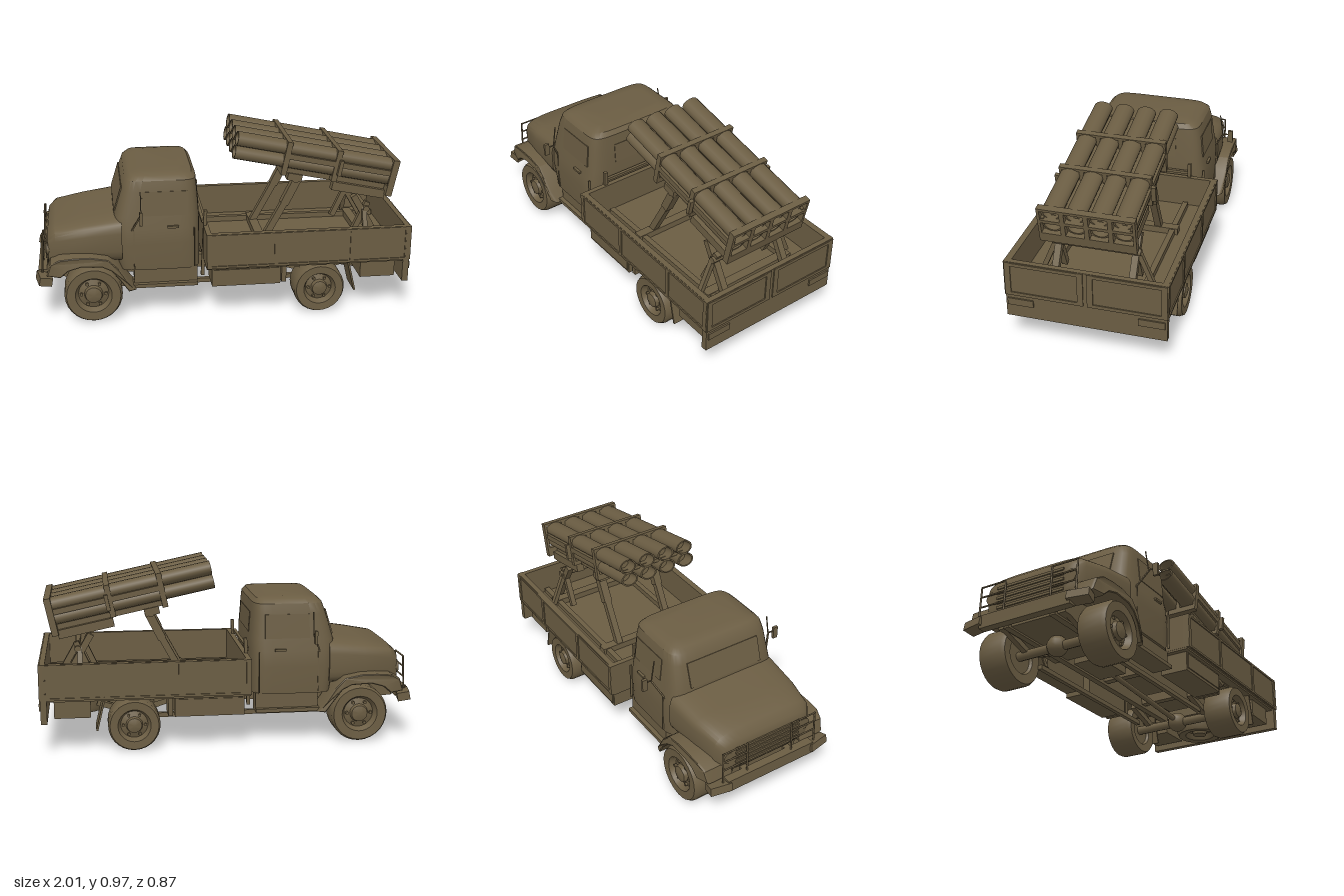
import * as THREE from 'three';
import { toCreasedNormals } from 'three/addons/utils/BufferGeometryUtils.js';

const olive = new THREE.MeshStandardMaterial({ color: 0x6b5d43 });
olive.name = 'olive paint';

function add(parent, name, geo, x = 0, y = 0, z = 0) {
  const m = new THREE.Mesh(geo, olive);
  m.name = name;
  m.position.set(x, y, z);
  parent.add(m);
  return m;
}
// Box given by its limits on each axis
function box(parent, name, x0, x1, y0, y1, z0, z1) {
  return add(parent, name, new THREE.BoxGeometry(x1 - x0, y1 - y0, Math.abs(z1 - z0)),
    (x0 + x1) / 2, (y0 + y1) / 2, (z0 + z1) / 2);
}
// Square or round bar between two points
function bar(parent, name, a, b, w, round = false) {
  const A = new THREE.Vector3(...a), B = new THREE.Vector3(...b), len = A.distanceTo(B);
  const geo = round ? new THREE.CylinderGeometry(w / 2, w / 2, len, 10) : new THREE.BoxGeometry(w, len, w);
  const m = add(parent, name, geo);
  m.position.copy(A).add(B).multiplyScalar(0.5);
  m.quaternion.setFromUnitVectors(new THREE.Vector3(0, 1, 0), B.sub(A).normalize());
  return m;
}
// Unit rounded square as a ring of points
function ring(power, n = 32) {
  return Array.from({ length: n }, (_, i) => {
    const t = ((i + 0.5) / n) * Math.PI * 2, f = v => Math.sign(v) * Math.abs(v) ** power;
    return [f(Math.cos(t)), f(Math.sin(t))];
  });
}
// Closed skin through rings of equal length
function loft(rings, crease = 0.6) {
  const n = rings[0].length, pts = rings.flat(), idx = [];
  for (let r = 0; r < rings.length - 1; r++) for (let i = 0; i < n; i++) {
    const a = r * n + i, b = r * n + (i + 1) % n;
    idx.push(a, b, b + n, a, b + n, a + n);
  }
  const last = (rings.length - 1) * n;
  for (let i = 1; i < n - 1; i++) idx.push(0, i + 1, i, last, last + i, last + i + 1);
  // Turn the faces outward
  const V = pts.map(p => new THREE.Vector3(...p));
  let vol = 0;
  for (let i = 0; i < idx.length; i += 3) vol += V[idx[i]].dot(V[idx[i + 1]].clone().cross(V[idx[i + 2]]));
  if (vol < 0) idx.reverse();
  const g = new THREE.BufferGeometry();
  g.setAttribute('position', new THREE.Float32BufferAttribute(pts.flat(), 3));
  g.setIndex(idx);
  return toCreasedNormals(g, crease);
}
const lathe = (pts, seg) => toCreasedNormals(
  new THREE.LatheGeometry(pts.map(p => new THREE.Vector2(...p)), seg), 0.6);

const tyre = r => lathe([[0, -0.06], [r * 0.55, -0.06], [r * 0.6, -0.075], [r * 0.93, -0.08], [r, -0.06], [r, 0.06],
  [r * 0.93, 0.08], [r * 0.63, 0.078], [r * 0.58, 0.065], [r * 0.52, 0.045], [r * 0.32, 0.055],
  [r * 0.28, 0.075], [r * 0.12, 0.082], [0, 0.082]], 28);

function wheel(parent, name, x, r, z, side) {
  add(parent, name, tyre(r).rotateX(side * Math.PI / 2), x, r + 0.004, side * z);
  for (let i = 0; i < 6; i++) {
    const t = i * Math.PI / 3, nut = new THREE.CylinderGeometry(r * 0.06, r * 0.06, 0.03, 6).rotateX(Math.PI / 2);
    add(parent, 'wheelNut', nut, x + Math.cos(t) * r * 0.42, r + 0.004 + Math.sin(t) * r * 0.42, side * (z + 0.048));
  }
}

// Front fender: extruded arch whose outer face curves in towards both ends
function fender(side) {
  const arch = new THREE.Shape([[-0.945, 0.28], [-0.925, 0.34], [-0.88, 0.365], [-0.8, 0.372], [-0.72, 0.372],
    [-0.63, 0.355], [-0.575, 0.3], [-0.53, 0.225], [-0.49, 0.175], [-0.52, 0.175], [-0.57, 0.25], [-0.61, 0.3],
    [-0.66, 0.325], [-0.77, 0.33], [-0.84, 0.31], [-0.88, 0.275]].map(p => new THREE.Vector2(...p)));
  const geo = new THREE.ExtrudeGeometry(arch, { depth: 0.15, bevelEnabled: true,
    bevelSize: 0.006, bevelThickness: 0.012, bevelSegments: 2 });
  geo.translate(0, 0, side > 0 ? 0.224 : -0.374);
  const p = geo.attributes.position;
  for (let i = 0; i < p.count; i++) if (Math.abs(p.getZ(i)) > 0.3)
    p.setZ(i, p.getZ(i) - side * 2.2 * Math.max(0, Math.abs(p.getX(i) + 0.72) - 0.13) ** 2);
  return toCreasedNormals(geo, 0.6);
}

function buildCab(g) {
  // Cabin: stacked level sections [y, front x, rear x, half width]
  const c = ring(0.28), h = ring(0.42);
  add(g, 'cabin', loft([[0.27, -0.57, -0.13, 0.325], [0.42, -0.59, -0.13, 0.333], [0.5, -0.59, -0.13, 0.328],
    [0.56, -0.588, -0.13, 0.315], [0.7, -0.545, -0.14, 0.302], [0.755, -0.525, -0.145, 0.29],
    [0.778, -0.5, -0.165, 0.265], [0.787, -0.44, -0.22, 0.21]]
    .map(([y, a, b, w]) => c.map(([u, v]) => [(a + b) / 2 + u * (b - a) / 2, y, v * w]))));
  // Bonnet: upright sections [x, bottom, top, half width]
  add(g, 'bonnet', loft([[-0.95, 0.3, 0.44, 0.22], [-0.94, 0.285, 0.475, 0.265], [-0.9, 0.29, 0.51, 0.295],
    [-0.75, 0.31, 0.535, 0.32], [-0.55, 0.3, 0.565, 0.33]]
    .map(([x, a, b, w]) => h.map(([u, v]) => [x, (a + b) / 2 + v * (b - a) / 2, u * w]))));
  box(g, 'engineBay', -0.93, -0.45, 0.21, 0.36, -0.2, 0.2);
  // Windscreen and rear window plates
  add(g, 'windscreen', new THREE.BoxGeometry(0.008, 0.14, 0.44), -0.563, 0.64, 0).rotation.z = -0.3;
  add(g, 'rearWindow', new THREE.BoxGeometry(0.008, 0.11, 0.34), -0.137, 0.64, 0).rotation.z = 0.07;
  // Grille
  for (let i = 0; i < 5; i++) box(g, 'grilleSlat', -0.957, -0.94, 0.315 + i * 0.027, 0.328 + i * 0.027, -0.2, 0.2);

  for (const s of [-1, 1]) {
    add(g, 'frontFender', fender(s));
    add(g, 'headlamp', new THREE.CylinderGeometry(0.035, 0.035, 0.03, 16).rotateZ(Math.PI / 2), -0.935, 0.385, s * 0.235);
    // Door step and door details
    box(g, 'stepBox', -0.49, -0.15, 0.19, 0.275, s * 0.22, s * 0.31);
    box(g, 'stepTread', -0.5, -0.15, 0.17, 0.19, s * 0.22, s * 0.335);
    add(g, 'sideWindow', new THREE.BoxGeometry(0.24, 0.13, 0.008), -0.32, 0.635, s * 0.307).rotation.x = -s * 0.093;
    box(g, 'doorHandle', -0.31, -0.25, 0.505, 0.517, s * 0.32, s * 0.338);
    for (const x of [-0.49, -0.17]) box(g, 'doorSeam', x, x + 0.005, 0.28, 0.5, s * 0.32, s * 0.332);
    // Mirror on its bracket
    bar(g, 'mirrorArm', [-0.5, 0.49, s * 0.32], [-0.45, 0.6, s * 0.375], 0.008);
    bar(g, 'mirrorArm', [-0.45, 0.6, s * 0.375], [-0.45, 0.72, s * 0.357], 0.005);
    bar(g, 'mirrorArm', [-0.45, 0.605, s * 0.375], [-0.45, 0.605, s * 0.41], 0.006);
    box(g, 'mirror', -0.46, -0.445, 0.56, 0.63, s * 0.405, s * 0.433);
    // Bumper end and brush guard
    bar(g, 'bumperEnd', [-0.977, 0.243, s * 0.25], [-0.955, 0.243, s * 0.365], 0.045).scale.x = 1.5;
    for (const z of [0.14, 0.29]) bar(g, 'guardPost', [-0.975, 0.27, s * z], [-0.965, 0.45, s * z], 0.01, true);
    for (const y of [0.34, 0.395, 0.45]) bar(g, 'guardRail', [-0.968, y, s * 0.14], [-0.968, y, s * 0.29], 0.009, true);
  }
  box(g, 'bumper', -0.997, -0.952, 0.208, 0.278, -0.27, 0.27);
}

function buildChassis(g) {
  for (const s of [-1, 1]) {
    wheel(g, 'frontWheel', -0.71, 0.154, 0.297, s);
    wheel(g, 'rearWheel', 0.505, 0.138, 0.32, s);
    box(g, 'frameRail', -0.95, 0.63, 0.2, 0.275, s * 0.12, s * 0.155);
    bar(g, 'lowerRail', [-0.58, 0.143, s * 0.2], [0.39, 0.143, s * 0.2], 0.024);
    // Leaf springs
    for (const [x, y] of [[-0.71, 0.17], [0.505, 0.16]]) {
      bar(g, 'leafSpring', [x - 0.19, y + 0.06, s * 0.185], [x, y, s * 0.185], 0.03);
      bar(g, 'leafSpring', [x, y, s * 0.185], [x + 0.19, y + 0.06, s * 0.185], 0.03);
    }
    // Side lockers, rear lockers and mudflaps
    box(g, 'locker', -0.08, 0.29, 0.18, 0.285, s * 0.23, s * 0.385);
    box(g, 'lockerLid', -0.07, 0.28, 0.195, 0.275, s * 0.385, s * 0.391);
    box(g, 'lockerStrap', 0.3, 0.325, 0.18, 0.285, s * 0.23, s * 0.37);
    box(g, 'rearLocker', 0.73, 0.92, 0.19, 0.285, s * 0.2, s * 0.38);
    bar(g, 'mudflap', [0.66, 0.285, s * 0.318], [0.7, 0.12, s * 0.318], 0.01).scale.z = 15;
    bar(g, 'fenderStay', [0.33, 0.285, s * 0.35], [0.4, 0.265, s * 0.35], 0.02);
    bar(g, 'fenderStay', [0.4, 0.287, s * 0.35], [0.66, 0.287, s * 0.35], 0.018);
    // Tail lamps
    box(g, 'tailLamp', 0.988, 0.996, 0.24, 0.278, s * 0.27, s * 0.405);
    // Rack posts behind the cab
    bar(g, 'rackPost', [-0.118, 0.2, s * 0.26], [-0.1, 0.57, s * 0.26], 0.018);
  }
  for (const [x, y, z] of [[-0.71, 0.158, 0.28], [0.505, 0.142, 0.3]]) {
    bar(g, 'axle', [x, y, -z], [x, y, z], 0.05, true);
    add(g, 'differential', new THREE.SphereGeometry(0.055, 16, 10), x, y + 0.004, 0);
  }
  bar(g, 'driveShaft', [-0.3, 0.2, 0], [0.45, 0.155, 0], 0.03, true);
  box(g, 'gearbox', -0.45, -0.2, 0.18, 0.27, -0.08, 0.08);
  for (const x of [-0.5, -0.1, 0.3, 0.6]) box(g, 'crossMember', x, x + 0.04, 0.215, 0.265, -0.13, 0.13);
  // Spare wheel slung flat under the tail
  add(g, 'spareWheel', tyre(0.135).rotateX(Math.PI), 0.78, 0.225, 0);
  box(g, 'rackBar', -0.122, -0.105, 0.5, 0.515, -0.26, 0.26);
  box(g, 'rearPanel', 0.955, 0.988, 0.17, 0.296, -0.415, 0.415);
}

function buildBed(g) {
  box(g, 'bedFloor', -0.11, 0.985, 0.285, 0.315, -0.405, 0.405);
  box(g, 'headboard', -0.112, -0.085, 0.295, 0.487, -0.42, 0.42);
  box(g, 'tailgate', 0.96, 0.988, 0.295, 0.487, -0.42, 0.42);
  for (const s of [-1, 1]) {
    box(g, 'sideBoard', -0.112, 0.988, 0.295, 0.487, s * 0.385, s * 0.415);
    for (const x of [-0.11, 0.25, 0.66, 0.965]) box(g, 'boardRib', x, x + 0.022, 0.297, 0.485, s * 0.415, s * 0.421);
    for (const y of [0.297, 0.473]) box(g, 'boardEdge', -0.11, 0.985, y, y + 0.012, s * 0.415, s * 0.421);
    // Tailgate panel frame
    for (const z of [0.01, 0.385]) box(g, 'gateRib', 0.986, 0.994, 0.3, 0.485, s * z, s * (z + 0.03));
    for (const y of [0.297, 0.465]) box(g, 'gateEdge', 0.986, 0.994, y, y + 0.018, s * 0.01, s * 0.415);
    // Launcher base rails and inner struts
    box(g, 'baseRail', -0.06, 0.95, 0.315, 0.345, s * 0.235, s * 0.265);
    bar(g, 'liftLeg', [0.22, 0.34, s * 0.17], [0.35, 0.58, s * 0.17], 0.036);
    bar(g, 'liftRam', [0.34, 0.56, s * 0.17], [0.41, 0.7, s * 0.17], 0.045);
    bar(g, 'pivotLeg', [0.87, 0.34, s * 0.2], [0.72, 0.6, s * 0.2], 0.035);
    bar(g, 'pivotLeg', [0.7, 0.34, s * 0.2], [0.8, 0.56, s * 0.2], 0.03);
    bar(g, 'pivotStay', [0.78, 0.34, s * 0.29], [0.78, 0.53, s * 0.21], 0.025);
  }
  for (const x of [0.2, 0.78]) box(g, 'baseBeam', x, x + 0.05, 0.315, 0.35, -0.28, 0.28);
  bar(g, 'pivotShaft', [0.79, 0.525, -0.23], [0.79, 0.525, 0.23], 0.035, true);
  bar(g, 'liftShaft', [0.4, 0.7, -0.2], [0.4, 0.7, 0.2], 0.035, true);
}

// Tilted launcher; its origin is the upper rear edge
function buildLauncher(g) {
  const L = 0.87, e = L / 2, ro = 0.051, ri = 0.042;
  const tube = lathe([[0, 0.07 - e], [ri, 0.07 - e], [ri, -e], [ro, -e], [ro, e], [ri, e], [ri, e - 0.05], [0, e - 0.05]], 14);
  // Slightly flattened so both rows fit the cradle
  tube.rotateZ(-Math.PI / 2).scale(1, 0.76, 1);
  for (const y of [-0.038, -0.111]) for (let i = 0; i < 4; i++)
    add(g, 'launchTube', tube, -0.895 + e, y, (i - 1.5) * 0.12);
  box(g, 'rowSpacer', -0.86, -0.05, -0.084, -0.066, -0.19, 0.19);
  // Clamp bands and end frame: [rear edge, width, bottom, half width]
  for (const [u, w, b, z] of [[-0.6, 0.03, -0.182, 0.237], [-0.32, 0.03, -0.172, 0.237], [0, 0.035, -0.2, 0.245]]) {
    box(g, 'clampTop', u - w, u, -0.012, 0.003, -z, z);
    box(g, 'clampBottom', u - w, u, b, -0.148, -z, z);
    box(g, 'clampMiddle', u - w, u, -0.084, -0.066, -z, z);
    for (const s of [-1, 1]) box(g, 'clampSide', u - w, u, b, 0.003, s * (z - 0.014), s * z);
    for (const d of [-0.12, 0, 0.12]) box(g, 'clampDivider', u - w, u, -0.155, 0, d - 0.012, d + 0.012);
  }
  for (const s of [-1, 1]) {
    box(g, 'sideRail', -0.63, -0.01, -0.09, -0.06, s * 0.215, s * 0.237);
    box(g, 'cradleBeam', -0.62, -0.02, -0.178, -0.148, s * 0.15, s * 0.19);
    box(g, 'lowerBeam', -0.33, -0.03, -0.225, -0.178, s * 0.17, s * 0.215);
    box(g, 'mountLug', -0.58, -0.5, -0.215, -0.175, s * 0.14, s * 0.2);
    box(g, 'sightPost', -0.33, -0.31, -0.13, -0.045, s * 0.237, s * 0.26);
  }
  g.position.set(0.962, 0.792, 0);
  g.rotation.z = -0.208;
}

export function createModel() {
  const model = new THREE.Group();
  model.name = 'rocketTruck';
  for (const [name, build] of [['cab', buildCab], ['chassis', buildChassis], ['cargoBed', buildBed], ['launcher', buildLauncher]]) {
    const part = new THREE.Group();
    part.name = name;
    build(part);
    model.add(part);
  }
  return model;
}
